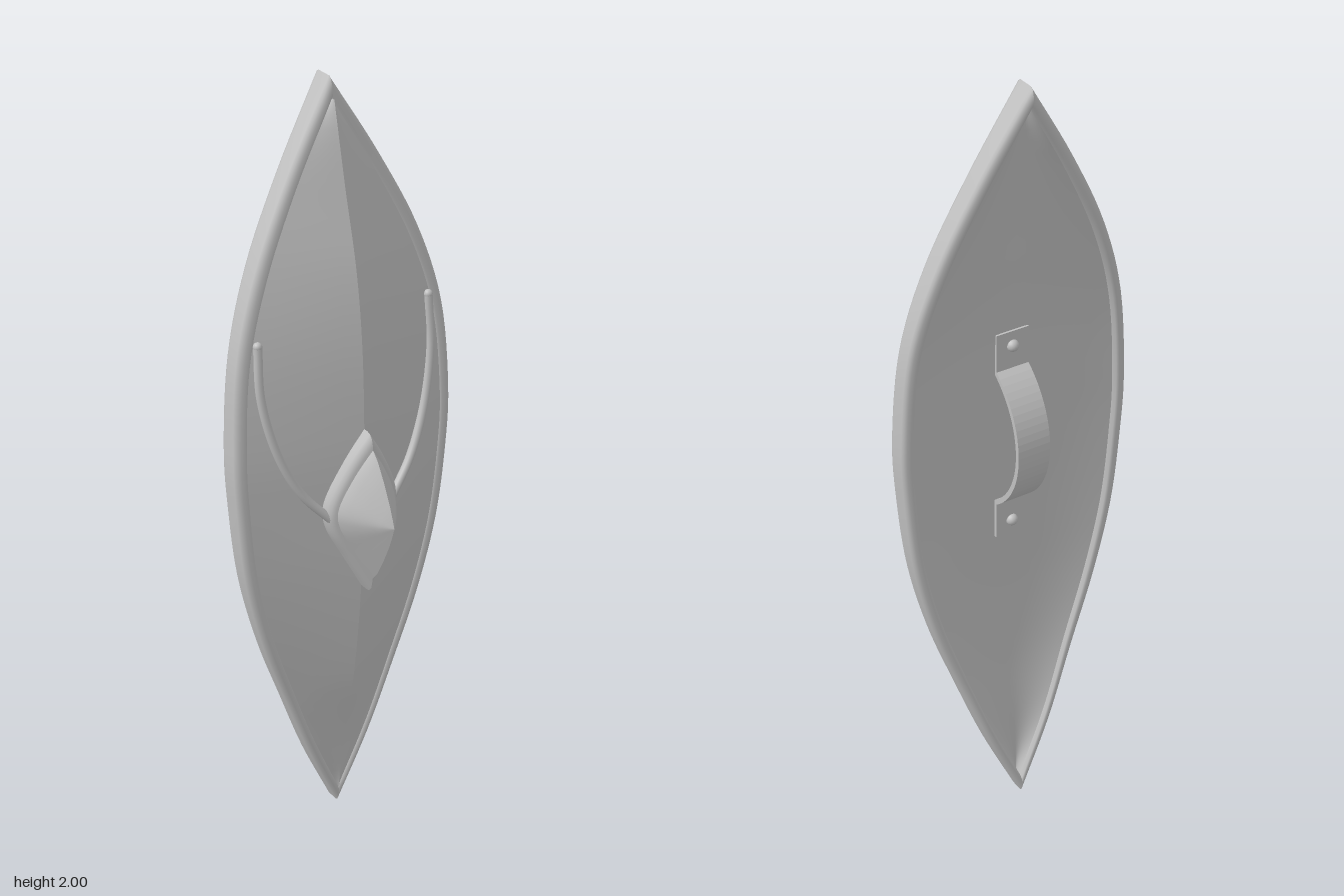
import * as THREE from 'three';

const steel = new THREE.MeshStandardMaterial({ color: 0xc0c0c0 });
steel.name = 'steel';

// Smooth surface over a grid: point(i, v) returns [x, y, z]; side -1 mirrors it in x
function grid(cols, rows, point, side = 1) {
  const pos = [], index = [];
  for (let j = 0; j <= rows; j++) {
    for (let i = 0; i <= cols; i++) {
      const [x, y, z] = point(i, j / rows);
      pos.push(x * side, y, z);
    }
  }
  for (let j = 0; j < rows; j++) {
    for (let i = 0; i < cols; i++) {
      const a = j * (cols + 1) + i, b = a + 1, c = a + cols + 1, d = c + 1;
      if (side > 0) index.push(a, b, d, a, d, c);
      else index.push(a, d, b, a, c, d);
    }
  }
  const geo = new THREE.BufferGeometry();
  geo.setAttribute('position', new THREE.Float32BufferAttribute(pos, 3));
  geo.setIndex(index);
  geo.computeVertexNormals();
  return geo;
}

// Stations from bottom tip to top tip: half width, height, rim front z, rim back z, ridge z
const stations = [
  [0, 0, -0.07, -0.13, -0.07],
  [0.088, 0.2, -0.058, -0.12, -0.045],
  [0.162, 0.4, -0.05, -0.105, -0.005],
  [0.23, 0.6, -0.042, -0.098, 0.02],
  [0.277, 0.8, -0.035, -0.096, 0.035],
  [0.298, 1.0, -0.03, -0.095, 0.04],
  [0.303, 1.17, -0.03, -0.096, 0.042],
  [0.282, 1.4, -0.038, -0.1, 0.034],
  [0.22, 1.6, -0.05, -0.115, 0.01],
  [0.12, 1.8, -0.067, -0.132, -0.035],
  [0, 2, -0.082, -0.15, -0.076],
];
const spline = (pick) => new THREE.CatmullRomCurve3(
  stations.map((s) => new THREE.Vector3(...pick(s))), false, 'catmullrom', 0.5);
const outline = spline((s) => [s[0], s[1], s[2]]);
const depths = spline((s) => [s[3], s[4], 0]);

// Outline at v, drawn in by inset k
function station(v, k) {
  const o = outline.getPoint(v), d = depths.getPoint(v);
  return {
    x: Math.max(0, o.x) * (1 - 3.2 * k),
    y: 1 + (o.y - 1) * (1 - 1.6 * k),
    front: o.z, back: d.x, ridge: d.y,
  };
}

// Rim section from front inner edge to back inner edge: inset, 0 front or 1 back, z offset
const rimSection = [
  [0.032, 0, -0.006], [0.027, 0, 0], [0.014, 0, -0.001], [0.004, 0, -0.007], [0, 0, -0.015],
  [0, 1, 0.012], [0.003, 1, 0.005], [0.01, 1, 0.001], [0.02, 1, 0], [0.027, 1, 0.003], [0.032, 1, 0.014],
];

// Leaf outline of the boss, right half, bottom to top
const leaf = new THREE.SplineCurve([
  [0, 0.74], [0.05, 0.84], [0.092, 0.93], [0.095, 1.0], [0.05, 1.1], [0, 1.18],
].map((p) => new THREE.Vector2(...p)));

// Leaf rings [scale, z], folded back along the centre line
const leafGrid = (rings, side) => grid(rings.length - 1, 30, (i, v) => {
  const p = leaf.getPoint(v), [s, z] = rings[i];
  const x = Math.max(0, p.x) * s;
  return [x, 0.97 + (p.y - 0.97) * s, z - 0.35 * x];
}, side);

export function createModel() {
  const model = new THREE.Group();
  model.name = 'shield';
  const add = (name, geo) => {
    const mesh = new THREE.Mesh(geo, steel);
    mesh.name = name;
    model.add(mesh);
    return mesh;
  };

  for (const [label, side] of [['left', 1], ['right', -1]]) {
    // Front face, folded along the centre ridge
    add(label + 'FrontPlate', grid(6, 60, (i, v) => {
      const s = station(v, 0.031), t = i / 6;
      return [s.x * t, s.y, THREE.MathUtils.lerp(s.ridge, s.front - 0.005, t)];
    }, side));

    // Rounded border
    add(label + 'Rim', grid(rimSection.length - 1, 60, (i, v) => {
      const [k, atBack, dz] = rimSection[i];
      const s = station(v, k);
      return [s.x, s.y, (atBack ? s.back : s.front) + dz];
    }, side));

    // Central boss: raised base and pointed spike
    add(label + 'BossBase', leafGrid(
      [[0.72, 0.077], [0.86, 0.077], [0.94, 0.073], [0.985, 0.065], [1, 0.055], [1, 0.022]], side));
    add(label + 'BossSpike', leafGrid(
      [[0, 0.166], [0.1, 0.159], [0.25, 0.147], [0.5, 0.122], [0.7, 0.098], [0.8, 0.08], [0.82, 0.07]], side));

    // Curved rod from the boss up to the rim
    const path = new THREE.CatmullRomCurve3([
      [0.235, 1.43, -0.038], [0.236, 1.3, -0.028], [0.205, 1.15, -0.009], [0.155, 1.04, 0.01], [0.085, 0.955, 0.03],
    ].map(([x, y, z]) => new THREE.Vector3(x * side, y, z)));
    add(label + 'Rod', new THREE.TubeGeometry(path, 32, 0.0105, 10));
    add(label + 'RodEnd', new THREE.SphereGeometry(0.011, 12, 8)).position.copy(path.getPoint(0));
  }

  // Shallow dished back face
  add('backPlate', grid(16, 60, (i, v) => {
    const s = station(v, 0.031), t = 1 - i / 8;
    return [s.x * t, s.y, s.back + 0.032 - 0.019 * t * t];
  }));

  // Strap handle: an arched band with a flat tab at each end
  const midY = 1.085, centre = -0.061, radius = 0.229, thick = 0.012, tabFace = 0.073;
  const bandEdge = (r, u) => {
    const a = Math.acos((u - centre) / r), pts = [[u, midY + 0.283]];
    for (let i = 0; i <= 24; i++) {
      const b = a * (1 - i / 12);
      pts.push([centre + r * Math.cos(b), midY + r * Math.sin(b)]);
    }
    pts.push([u, midY - 0.283]);
    return pts;
  };
  const band = [...bandEdge(radius, tabFace), ...bandEdge(radius - thick, tabFace - thick).reverse()];
  const handle = new THREE.ExtrudeGeometry(
    new THREE.Shape(band.map((p) => new THREE.Vector2(...p))), { depth: 0.086, bevelEnabled: false });
  handle.translate(0, 0, -0.043).rotateY(Math.PI / 2);
  add('handle', handle);

  // Rivets on the tabs
  for (const dy of [0.245, -0.245]) {
    const rivet = add('rivet', new THREE.SphereGeometry(0.015, 16, 10));
    rivet.position.set(0, midY + dy, -tabFace);
  }
  return model;
}
